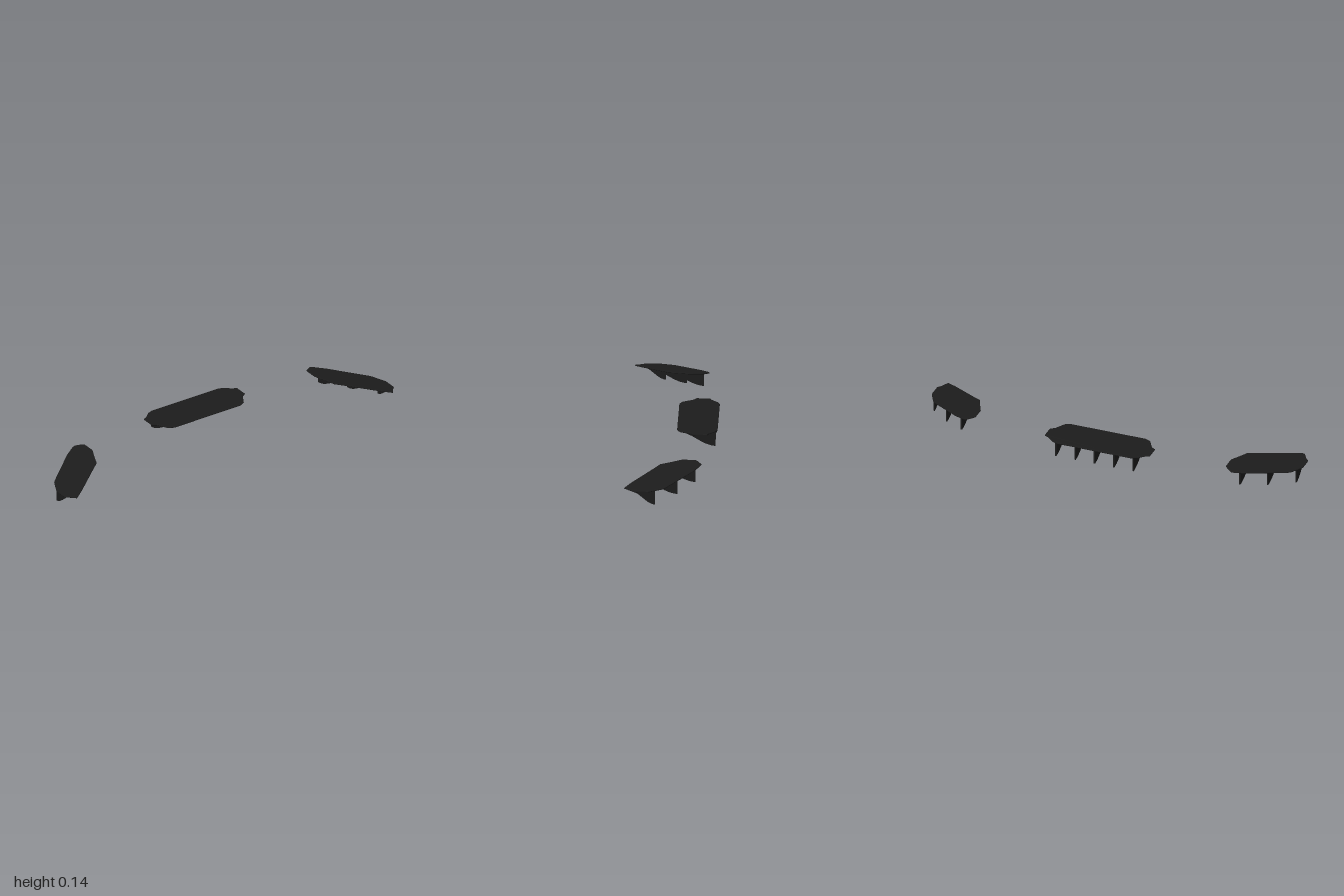
import * as THREE from 'three';

export function createModel() {
  const model = new THREE.Group();
  const black = new THREE.MeshStandardMaterial({ color: 0x1c1c1c });
  black.name = 'satin black';

  // Thin plate from a plan outline [x, z], lifted by a height rule for its top
  function plate(name, outline, topAt) {
    const shape = new THREE.Shape(outline.map(([x, z]) => new THREE.Vector2(x, -z)));
    const geo = new THREE.ExtrudeGeometry(shape, {
      depth: 0.003, bevelEnabled: true, bevelThickness: 0.002,
      bevelSize: 0.004, bevelOffset: -0.004, bevelSegments: 2,
    });
    geo.rotateX(-Math.PI / 2);
    const p = geo.attributes.position;
    for (let i = 0; i < p.count; i++) {
      p.setY(i, p.getY(i) - 0.005 + topAt(p.getX(i), p.getZ(i)));
    }
    geo.computeVertexNormals();
    const mesh = new THREE.Mesh(geo, black);
    mesh.name = name;
    return mesh;
  }

  // Upright fin: straight trailing edge, S-curved lower edge rising to the front
  function fin(x, rearZ, length, top, bottom) {
    const h = top - bottom;
    const shape = new THREE.Shape();
    shape.moveTo(0, h);
    shape.lineTo(0, 0);
    shape.bezierCurveTo(length * 0.4, h * 0.08, length * 0.6, h * 0.8, length, h * 0.94);
    shape.lineTo(length, h);
    const geo = new THREE.ExtrudeGeometry(shape, { depth: 0.007, bevelEnabled: false, curveSegments: 12 });
    geo.translate(0, 0, -0.0035);
    geo.rotateY(-Math.PI / 2);
    const mesh = new THREE.Mesh(geo, black);
    mesh.position.set(x, bottom, rearZ);
    mesh.name = 'fin';
    return mesh;
  }

  // Centre section
  const centre = new THREE.Group();
  centre.name = 'centreDiffuser';
  const half = [[0.2, -0.225], [0.228, -0.214], [0.262, -0.183], [0.283, -0.174],
    [0.283, -0.104], [0.262, -0.092], [0.23, -0.036], [0.2, -0.022]];
  const outline = [...half, ...half.map(([x, z]) => [-x, z]).reverse()];
  centre.add(plate('centrePlate', outline, (x) => 0.135 + 0.04 * x * x));
  for (let i = -2; i <= 2; i++) centre.add(fin(i * 0.104, -0.215, 0.18, 0.131, 0.053));
  model.add(centre);

  // Swept side sections, sloping down outward
  const sideOutline = [[0.674, -0.128], [0.69, -0.142], [0.715, -0.158], [0.733, -0.152],
    [0.786, -0.12], [0.95, 0.012], [0.965, 0.028], [1.0, 0.1], [1.0, 0.17], [0.985, 0.186],
    [0.96, 0.222], [0.91, 0.19], [0.745, 0.065], [0.722, 0.05], [0.703, 0.005], [0.674, -0.058]];
  const sideTop = (x) => Math.max(0.077, 0.137 - 0.19 * (Math.abs(x) - 0.674));
  const sideFins = [[0.75, -0.13, 0.18, 0.045], [0.865, -0.042, 0.18, 0.02], [0.975, 0.067, 0.12, 0]];
  for (const [s, name] of [[1, 'left'], [-1, 'right']]) {
    const side = new THREE.Group();
    side.name = name + 'Diffuser';
    side.add(plate(name + 'Plate', sideOutline.map(([x, z]) => [s * x, z]), sideTop));
    for (const [x, z, len, bottom] of sideFins) {
      side.add(fin(s * x, z, len, sideTop(x) - 0.004, bottom));
    }
    model.add(side);
  }
  return model;
}
